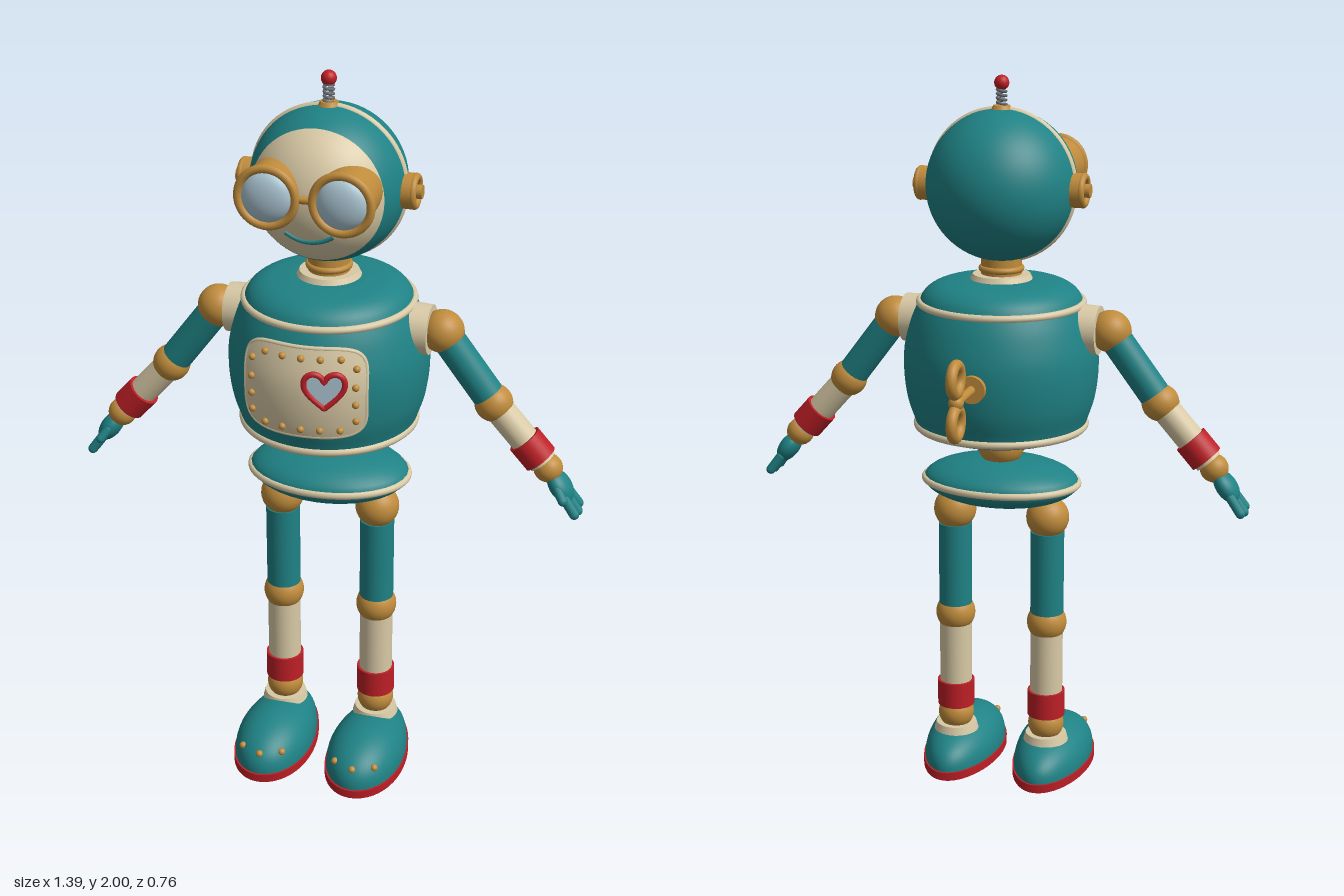
import * as THREE from 'three';

const mat = (name, color, side = THREE.FrontSide) => {
  const m = new THREE.MeshStandardMaterial({ color, side });
  m.name = name;
  return m;
};
const teal = mat('teal', 0x1f8285), cream = mat('cream', 0xd9caa6), gold = mat('gold', 0xc08c3c);
const red = mat('red', 0xbe1f26), glass = mat('glass', 0xa9c3d0), grey = mat('grey', 0x6c7076);

const CZ = 0.085; // body axis
const V = (x, y, z) => new THREE.Vector3(x, y, z);
const UP = V(0, 1, 0);

function add(parent, name, geo, material, x = 0, y = 0, z = 0) {
  const m = new THREE.Mesh(geo, material);
  m.name = name;
  m.position.set(x, y, z);
  parent.add(m);
  return m;
}
const ball = (p, name, r, m, x, y, z) => add(p, name, new THREE.SphereGeometry(r, 32, 20), m, x, y, z);
const rod = (p, name, r, h, m, x, y, z, r2 = r) => add(p, name, new THREE.CylinderGeometry(r2, r, h, 32), m, x, y, z);
function ring(p, name, R, t, m, x, y, z) {
  const o = add(p, name, new THREE.TorusGeometry(R, t, 12, 64), m, x, y, z);
  o.rotation.x = Math.PI / 2;
  return o;
}
// rod between two points
function link(p, name, a, b, r, m, r2 = r) {
  const o = rod(p, name, r, a.distanceTo(b), m, 0, 0, 0, r2);
  o.position.copy(a).lerp(b, 0.5);
  o.quaternion.setFromUnitVectors(UP, b.clone().sub(a).normalize());
  return o;
}
const group = (parent, name) => {
  const g = new THREE.Group();
  g.name = name;
  parent.add(g);
  return g;
};

// torso outline as radius, height
const belly = new THREE.SplineCurve([[0.2, 1.03], [0.228, 1.045], [0.24, 1.075], [0.257, 1.13], [0.266, 1.2], [0.264, 1.27],
  [0.247, 1.34], [0.226, 1.39], [0.205, 1.425], [0.165, 1.447], [0.1, 1.456]].map(p => new THREE.Vector2(...p))).getPoints(60);
function torsoFront(x, y, off = 0) {
  let i = 1;
  while (i < belly.length - 1 && belly[i].y < y) i++;
  const a = belly[i - 1], b = belly[i];
  const r = a.x + (b.x - a.x) * (y - a.y) / (b.y - a.y) + off;
  return V(x, y, CZ + Math.sqrt(r * r - x * x));
}

function torso(root) {
  const g = group(root, 'torso');
  const pts = [new THREE.Vector2(0, 1.03), ...belly, new THREE.Vector2(0, 1.458)];
  add(g, 'torsoShell', new THREE.LatheGeometry(pts, 64), teal, 0, 0, CZ);
  ring(g, 'shoulderBand', 0.222, 0.01, cream, 0, 1.394, CZ);
  ring(g, 'lowerBand', 0.23, 0.012, cream, 0, 1.053, CZ);
  rod(g, 'collar', 0.088, 0.02, cream, 0, 1.46, CZ, 0.078);
  rod(g, 'neck', 0.055, 0.09, gold, 0, 1.495, CZ);
  ring(g, 'neckRing', 0.053, 0.009, gold, 0, 1.485, CZ);
  ball(g, 'waist', 0.066, gold, 0, 0.99, CZ);

  // curved chest plate
  const outline = t => {
    const c = Math.cos(t), s = Math.sin(t);
    const k = (Math.abs(c / 0.16) ** 5 + Math.abs(s / 0.122) ** 5) ** -0.2;
    return [c * k, s * k];
  };
  const cy = 1.232, plate = new THREE.RingGeometry(0.001, 1, 64, 12), pos = plate.attributes.position;
  for (let i = 0; i < pos.count; i++) {
    const r = Math.hypot(pos.getX(i), pos.getY(i)), [x, y] = outline(Math.atan2(pos.getY(i), pos.getX(i)));
    pos.setXYZ(i, ...torsoFront(x * r, cy + y * r, 0.008).toArray());
  }
  plate.computeVertexNormals();
  add(g, 'chestPlate', plate, cream);
  const edge = [];
  for (let i = 0; i < 64; i++) {
    const [x, y] = outline(i / 64 * Math.PI * 2);
    edge.push(torsoFront(x, cy + y, 0.003));
  }
  add(g, 'chestPlateEdge', new THREE.TubeGeometry(new THREE.CatmullRomCurve3(edge, true), 128, 0.006, 8, true), cream);
  const rivet = (x, y) => ball(g, 'plateRivet', 0.0095, gold).position.copy(torsoFront(x, y, 0.01));
  for (const s of [-1, 1]) {
    for (let i = -2; i <= 2; i++) rivet(i * 0.05, cy + s * 0.098);
    for (let i = 0; i < 4; i++) rivet(s * 0.138, cy - 0.072 + i * 0.048);
  }

  // heart window
  const heart = new THREE.Shape();
  heart.moveTo(0, -0.05);
  heart.bezierCurveTo(-0.03, -0.025, -0.052, -0.005, -0.052, 0.018);
  heart.bezierCurveTo(-0.052, 0.052, -0.01, 0.055, 0, 0.022);
  heart.bezierCurveTo(0.01, 0.055, 0.052, 0.052, 0.052, 0.018);
  heart.bezierCurveTo(0.052, -0.005, 0.03, -0.025, 0, -0.05);
  const h = group(g, 'heart');
  h.position.copy(torsoFront(0.065, 1.255, 0.014));
  h.rotation.y = Math.asin(0.065 / 0.27);
  add(h, 'heartWindow', new THREE.ExtrudeGeometry(heart, { depth: 0.008, bevelEnabled: false, curveSegments: 16 }), glass, 0, 0, -0.004);
  const rim = heart.getPoints(12).slice(0, -1).map(p => V(p.x, p.y, 0.002));
  add(h, 'heartRim', new THREE.TubeGeometry(new THREE.CatmullRomCurve3(rim, true), 120, 0.008, 8, true), red);

  // wind-up key
  const k = group(g, 'windUpKey');
  link(k, 'keyBase', V(0, 1.215, -0.165), V(0, 1.215, -0.195), 0.037, gold);
  link(k, 'keyShaft', V(0, 1.215, -0.18), V(0, 1.215, -0.335), 0.012, gold);
  ball(k, 'keyHub', 0.02, gold, 0, 1.215, -0.322);
  for (const s of [-1, 1])
    add(k, 'keyLoop', new THREE.TorusGeometry(0.038, 0.015, 12, 36), gold, 0, 1.219 + s * 0.058, -0.324).rotation.y = Math.PI / 2;
}

function head(root) {
  const g = group(root, 'head');
  g.position.set(0, 1.71, CZ);
  const R = 0.203, cap = 1.02;
  add(g, 'headShell', new THREE.SphereGeometry(R, 64, 32, 0, Math.PI * 2, cap, Math.PI - cap), teal).rotation.x = Math.PI / 2;
  add(g, 'face', new THREE.SphereGeometry(R, 64, 20, 0, Math.PI * 2, 0, cap), cream).rotation.x = Math.PI / 2;
  add(g, 'headBand', new THREE.TorusGeometry(0.198, 0.011, 12, 80), cream);
  // smile following the face
  const smile = [];
  for (let i = -4; i <= 4; i++) {
    const x = i * 0.0155, y = -0.098 + 0.02 * (i / 4) ** 2;
    smile.push(V(x, y, Math.sqrt(R * R - x * x - y * y)));
  }
  add(g, 'mouth', new THREE.TubeGeometry(new THREE.CatmullRomCurve3(smile), 40, 0.0065, 8), teal);

  for (const s of [-1, 1]) {
    // goggle
    const e = group(g, 'goggle');
    e.position.set(s * 0.096, 0.026, 0);
    link(e, 'goggleBarrel', V(0, 0, 0.1), V(0, 0, 0.222), 0.073, gold, 0.078);
    add(e, 'goggleRim', new THREE.TorusGeometry(0.074, 0.011, 12, 48), gold, 0, 0, 0.222);
    const lens = ball(e, 'lens', 0.065, glass, 0, 0, 0.219);
    lens.scale.z = 0.45;
    // ear
    const a = s * 0.185;
    link(g, 'earDisc', V(a, -0.005, 0), V(s * 0.225, -0.005, 0), 0.046, gold);
    add(g, 'earRim', new THREE.TorusGeometry(0.037, 0.01, 12, 36), gold, s * 0.226, -0.005, 0).rotation.y = Math.PI / 2;
    link(g, 'earKnob', V(a, -0.005, 0), V(s * 0.245, -0.005, 0), 0.018, gold);
  }
  link(g, 'goggleBridge', V(-0.03, 0.026, 0.215), V(0.03, 0.026, 0.215), 0.01, gold);

  // antenna
  rod(g, 'antennaBase', 0.032, 0.018, gold, 0, 0.202, 0, 0.022);
  const coil = [];
  for (let i = 0; i <= 40; i++) coil.push(V(0.012 * Math.cos(i * 0.785), 0.208 + i * 0.0014, 0.012 * Math.sin(i * 0.785)));
  add(g, 'antennaSpring', new THREE.TubeGeometry(new THREE.CatmullRomCurve3(coil), 160, 0.004, 6), grey);
  ball(g, 'antennaTip', 0.02, red, 0, 0.27, 0);
}

function arm(root, s) {
  const g = group(root, s > 0 ? 'leftArm' : 'rightArm');
  const sh = V(s * 0.305, 1.33, CZ), el = V(s * 0.446, 1.143, CZ), wr = V(s * 0.598, 0.972, CZ);
  link(g, 'shoulderCup', V(s * 0.2, 1.33, CZ), V(s * 0.275, 1.33, CZ), 0.07, cream, 0.066);
  ball(g, 'shoulder', 0.057, gold, ...sh);
  link(g, 'upperArm', sh, el, 0.043, teal);
  ball(g, 'elbow', 0.051, gold, ...el);
  link(g, 'forearm', el, el.clone().lerp(wr, 0.9), 0.039, cream);
  link(g, 'cuff', el.clone().lerp(wr, 0.56), el.clone().lerp(wr, 0.86), 0.047, red);
  ball(g, 'wrist', 0.039, gold, ...wr);
  // hand: local -y points to the fingertips
  const hand = group(g, 'hand');
  hand.position.copy(wr);
  hand.quaternion.setFromUnitVectors(V(0, -1, 0), V(s * 0.59, -0.81, 0).normalize());
  ball(hand, 'palm', 0.045, teal, 0, -0.06, 0).scale.set(0.62, 1.1, 0.95);
  for (const i of [-1, 0, 1]) {
    const f = add(hand, 'finger', new THREE.CapsuleGeometry(0.0135, 0.05, 6, 12), teal, 0, -0.113 - (i ? 0 : 0.006), i * 0.031);
    f.rotation.x = -i * 0.12;
  }
  const thumb = add(hand, 'thumb', new THREE.CapsuleGeometry(0.0125, 0.035, 6, 12), teal, 0, -0.07, 0.04);
  thumb.rotation.x = -0.45;
}

// egg-shaped foot outline, u from heel -1 to toe 1
const footWidth = u => 0.107 + 0.012 * u;
function leg(root, s) {
  const g = group(root, s > 0 ? 'leftLeg' : 'rightLeg');
  g.position.set(s * 0.135, 0, CZ);
  ball(g, 'hip', 0.06, gold, 0, 0.787, 0);
  rod(g, 'thigh', 0.047, 0.26, teal, 0, 0.615, 0);
  ball(g, 'knee', 0.056, gold, 0, 0.474, 0);
  rod(g, 'shin', 0.046, 0.2, cream, 0, 0.345, 0);
  rod(g, 'ankleCuff', 0.053, 0.075, red, 0, 0.228, 0);
  ball(g, 'ankle', 0.051, gold, 0, 0.163, 0);
  rod(g, 'shoeCollar', 0.064, 0.022, cream, 0, 0.122, 0, 0.058);

  const shoe = new THREE.SphereGeometry(1, 48, 20, 0, Math.PI * 2, 0, Math.PI / 2), p = shoe.attributes.position;
  for (let i = 0; i < p.count; i++) {
    const u = p.getZ(i);
    const lift = 0.107 + 0.008 * Math.tanh(u * 3);
    p.setXYZ(i, p.getX(i) * footWidth(u), 0.022 + lift * p.getY(i) ** 0.85, u * 0.2);
  }
  shoe.computeVertexNormals();
  add(g, 'shoe', shoe, teal, 0, 0, 0.073);
  const sole = new THREE.CylinderGeometry(1, 1, 0.024, 48), q = sole.attributes.position;
  for (let i = 0; i < q.count; i++) q.setXYZ(i, q.getX(i) * (footWidth(q.getZ(i)) + 0.004), q.getY(i), q.getZ(i) * 0.206);
  add(g, 'sole', sole, red, 0, 0.012, 0.073);
  for (const i of [-1, 0, 1]) ball(g, 'shoeRivet', 0.01, gold, i * 0.057, 0.077, 0.073 + (i ? 0.152 : 0.178));
}

export function createModel() {
  const root = new THREE.Group();
  root.name = 'toyRobot';
  torso(root);
  head(root);
  const pelvis = group(root, 'pelvis');
  pelvis.position.set(0, 0.885, CZ);
  pelvis.scale.set(1, 1, 0.73);
  ball(pelvis, 'pelvisShell', 0.22, teal).scale.y = 0.31;
  ring(pelvis, 'pelvisBand', 0.217, 0.01, cream, 0, 0, 0);
  for (const s of [-1, 1]) {
    arm(root, s);
    leg(root, s);
  }
  return root;
}
